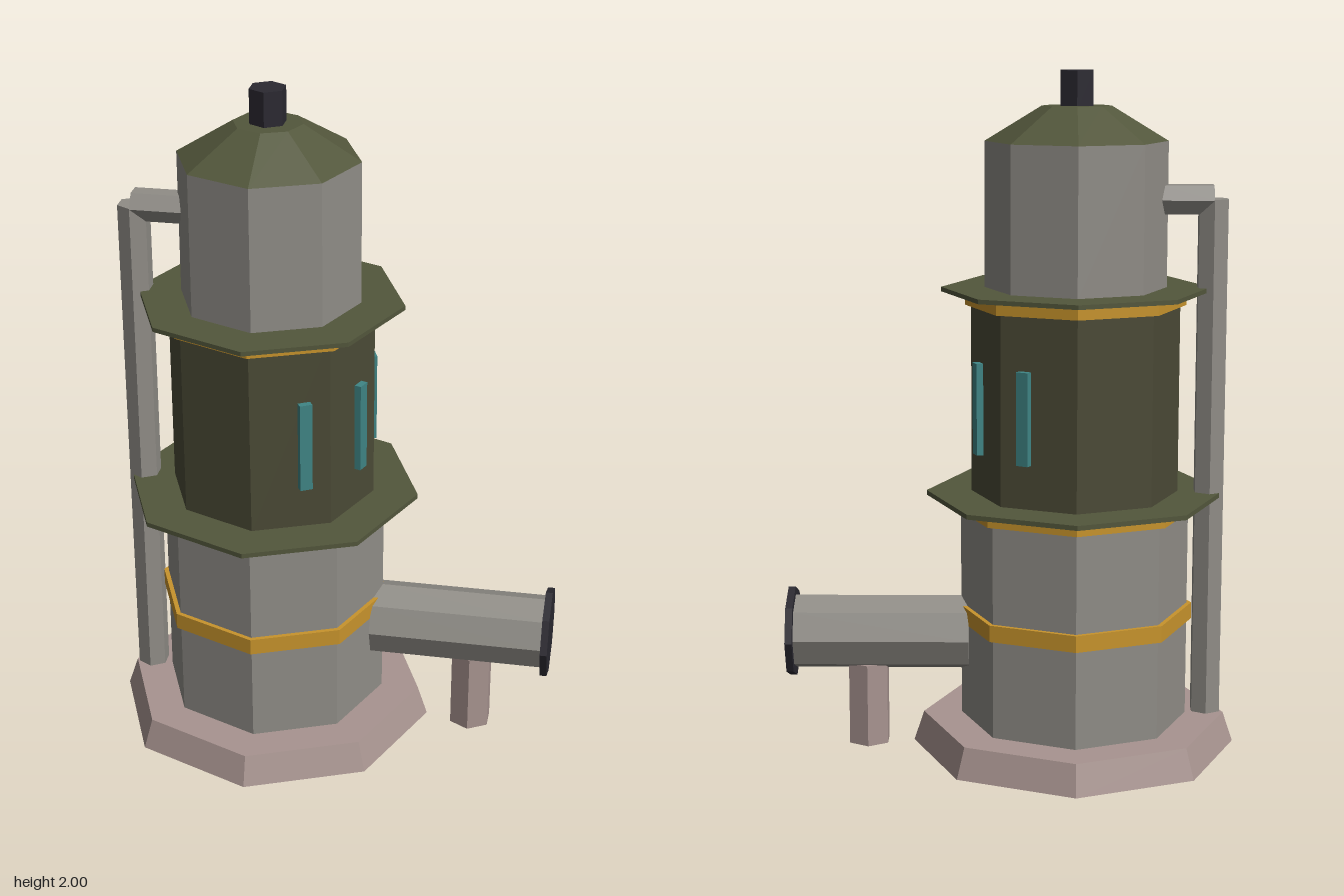
import * as THREE from 'three';

const AXIS_X = -0.187; // the tower stands off-centre, balancing the side outlet

const paint = (color) => new THREE.MeshStandardMaterial({ color, flatShading: true });

export function createModel() {
  const model = new THREE.Group();
  const stone = paint(0xa89490), steel = paint(0x908d87), green = paint(0x53573c);
  const olive = paint(0x4b4a36), gold = paint(0xc8942c), teal = paint(0x3f8585);
  const dark = paint(0x2b2931);

  const add = (name, geometry, material, x, y, z = 0) => {
    const mesh = new THREE.Mesh(geometry, material);
    mesh.name = name;
    mesh.position.set(x, y, z);
    model.add(mesh);
    return mesh;
  };
  // Upright prism between two heights
  const upright = (name, x, y0, y1, rBottom, rTop, sides, material) =>
    add(name, new THREE.CylinderGeometry(rTop, rBottom, y1 - y0, sides), material, x, (y0 + y1) / 2);
  // Prism lying along x
  const lying = (name, x0, x1, y, r, sides, material) => {
    const mesh = add(name, new THREE.CylinderGeometry(r, r, x1 - x0, sides), material, (x0 + x1) / 2, y);
    mesh.rotation.z = -Math.PI / 2;
    return mesh;
  };

  // Octagonal tower, bottom to top: name, y0, y1, bottom radius, top radius, material
  const tiers = [
    ['foundation', 0, 0.09, 0.48, 0.45, stone],
    ['lowerBody', 0.09, 0.765, 0.336, 0.336, steel],
    ['lowerBand', 0.383, 0.432, 0.35, 0.35, gold],
    ['lowerCollar', 0.722, 0.762, 0.357, 0.357, gold],
    ['lowerFlange', 0.76, 0.774, 0.437, 0.437, green],
    ['middleBody', 0.77, 1.37, 0.304, 0.304, olive],
    ['upperCollar', 1.327, 1.368, 0.322, 0.322, gold],
    ['upperFlange', 1.366, 1.379, 0.391, 0.391, green],
    ['upperBody', 1.375, 1.8, 0.264, 0.264, steel],
    ['roof', 1.8, 1.9, 0.264, 0.1, green],
  ];
  for (const [name, y0, y1, rb, rt, material] of tiers) {
    upright(name, AXIS_X, y0, y1, rb, rt, 8, material);
  }
  upright('chimney', AXIS_X, 1.89, 2, 0.054, 0.054, 6, dark);

  // Tall slit windows fanned around the outlet side
  for (const degrees of [-60, -20, 20, 60]) {
    const a = THREE.MathUtils.degToRad(degrees);
    const slit = add('window', new THREE.BoxGeometry(0.02, 0.268, 0.037), teal,
      AXIS_X + 0.3 * Math.cos(a), 1.038, 0.3 * Math.sin(a));
    slit.rotation.y = -a;
  }

  // Side outlet with end cap and post
  lying('outletPipe', 0.125, 0.65, 0.34, 0.112, 8, steel);
  lying('outletCap', 0.644, 0.665, 0.34, 0.137, 8, dark);
  upright('outletPost', 0.428, 0, 0.25, 0.066, 0.066, 6, stone);

  // Riser pipe and its elbow into the upper body
  upright('riserPipe', -0.582, 0.1, 1.635, 0.048, 0.048, 6, steel);
  lying('riserBranch', -0.582, -0.43, 1.633, 0.048, 6, steel);

  return model;
}
